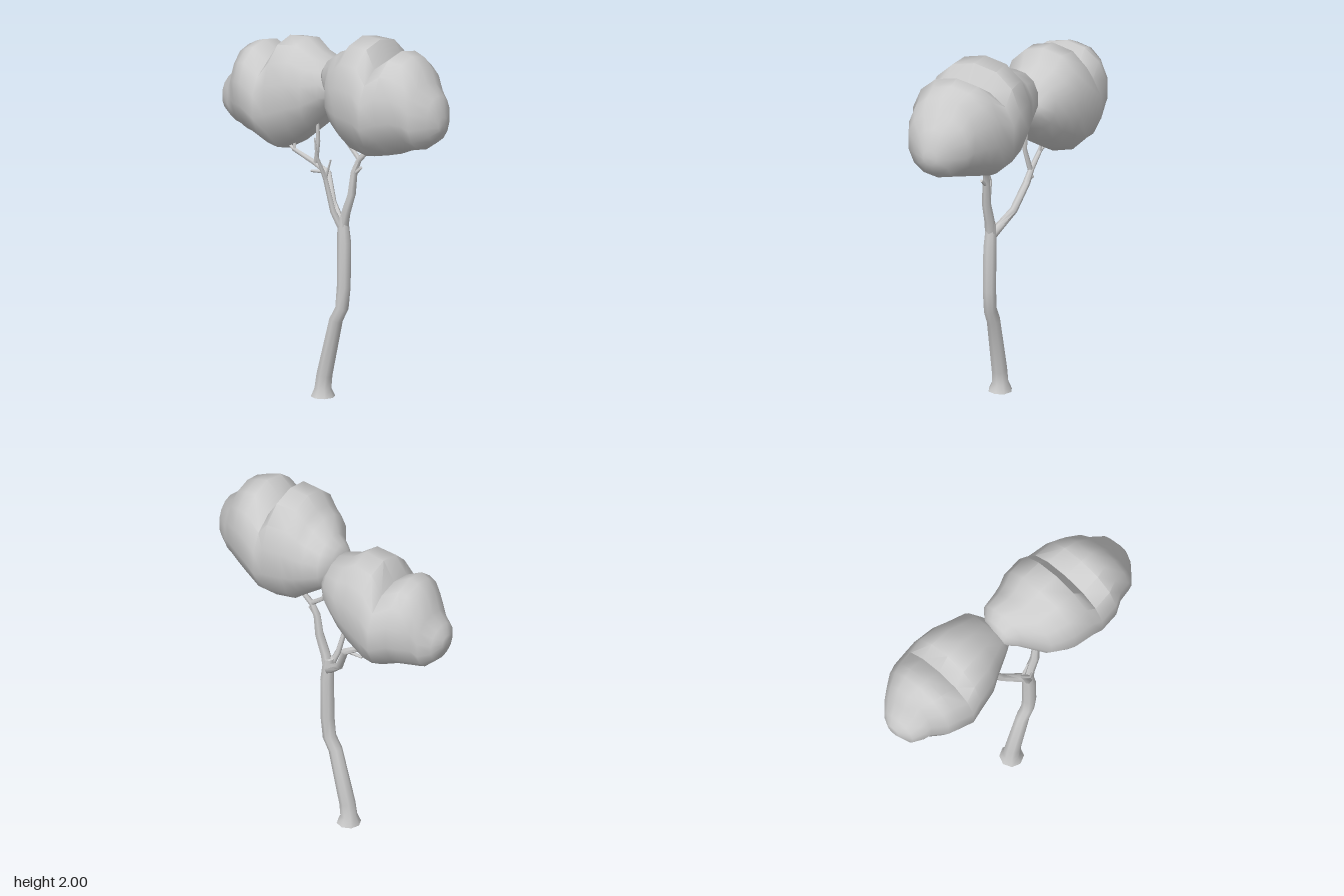
import * as THREE from 'three';
import { toCreasedNormals } from 'three/addons/utils/BufferGeometryUtils.js';

const material = new THREE.MeshStandardMaterial({ color: 0xcccccc });

// Skin a list of equal-sized rings and close both ends with a fan
function loft(rings, crease) {
  const n = rings[0].length, last = rings.length - 1;
  const verts = rings.flat();
  const index = [];
  for (let i = 0; i < last; i++) {
    for (let j = 0; j < n; j++) {
      const k = (j + 1) % n;
      const a = i * n + j, b = i * n + k, c = a + n, d = b + n;
      index.push(a, c, b, b, c, d);
    }
  }
  const middle = (ring) => ring.reduce((s, p) => s.add(p), new THREE.Vector3()).divideScalar(n);
  const start = verts.push(middle(rings[0])) - 1;
  const end = verts.push(middle(rings[last])) - 1;
  for (let j = 0; j < n; j++) {
    const k = (j + 1) % n;
    index.push(start, j, k, end, last * n + k, last * n + j);
  }
  const geo = new THREE.BufferGeometry().setFromPoints(verts);
  geo.setIndex(index);
  return toCreasedNormals(geo, crease);
}

// Tapering limb through points [x, y, z, radius]
function limb(name, path, sides = 6) {
  const pts = path.map(([x, y, z]) => new THREE.Vector3(x, y, z));
  const rings = pts.map((p, i) => {
    const before = pts[Math.max(i - 1, 0)];
    const after = pts[Math.min(i + 1, pts.length - 1)];
    const t = after.clone().sub(before).normalize();
    const u = new THREE.Vector3(t.y, -t.x, 0).normalize();
    const v = u.clone().cross(t);
    return Array.from({ length: sides }, (_, j) => {
      const a = (j / sides) * Math.PI * 2;
      return p.clone()
        .addScaledVector(u, Math.cos(a) * path[i][3])
        .addScaledVector(v, Math.sin(a) * path[i][3]);
    });
  });
  const mesh = new THREE.Mesh(loft(rings, 1.1), material);
  mesh.name = name;
  return mesh;
}

// Lumpy crown from slices [x, bottom, top, back, front]
function crown(name, slices, sides = 14) {
  const soft = (v) => Math.sign(v) * Math.abs(v) ** 0.92;
  const rings = slices.map(([x, bottom, top, back, front]) =>
    Array.from({ length: sides }, (_, j) => {
      const a = (j / sides) * Math.PI * 2;
      return new THREE.Vector3(
        x,
        (top + bottom) / 2 + soft(Math.cos(a)) * (top - bottom) / 2,
        (front + back) / 2 - soft(Math.sin(a)) * (front - back) / 2
      );
    }));
  const mesh = new THREE.Mesh(loft(rings, 0.95), material);
  mesh.name = name;
  return mesh;
}

export function createModel() {
  const tree = new THREE.Group();
  tree.name = 'tree';

  // Bent trunk with a flared foot
  tree.add(limb('trunk', [
    [-0.04, 0, 0.065, 0.065], [-0.04, 0.045, 0.065, 0.045], [-0.03, 0.12, 0.065, 0.043],
    [0.045, 0.43, 0.065, 0.037], [0.083, 0.5, 0.065, 0.036], [0.095, 0.62, 0.065, 0.037],
    [0.095, 0.86, 0.062, 0.037], [0.085, 1.0, 0.06, 0.028],
  ], 8));

  // Branches carrying the crown on the +x side
  tree.add(limb('leftBranch', [
    [0.09, 0.95, 0.06, 0.03], [0.105, 1.02, 0.06, 0.027], [0.143, 1.13, 0.06, 0.024],
    [0.155, 1.25, 0.055, 0.02], [0.18, 1.32, 0.045, 0.016], [0.27, 1.42, 0.03, 0.012],
  ]));
  tree.add(limb('leftInnerTwig', [
    [0.185, 1.32, 0.045, 0.014], [0.1, 1.39, 0.03, 0.012], [0.03, 1.57, 0.01, 0.009],
  ]));
  tree.add(limb('leftStub', [[0.155, 1.24, 0.055, 0.012], [0.205, 1.285, 0.06, 0.008]]));

  // Branches carrying the crown on the -x side
  tree.add(limb('rightBranch', [
    [0.085, 0.93, 0.055, 0.026], [0.04, 0.97, 0.03, 0.024], [-0.035, 1.04, -0.015, 0.021],
    [-0.1, 1.18, -0.06, 0.02], [-0.18, 1.225, -0.05, 0.016], [-0.31, 1.28, -0.04, 0.012],
  ]));
  tree.add(limb('rightInnerTwig', [
    [-0.17, 1.22, -0.05, 0.014], [-0.14, 1.35, -0.03, 0.012], [-0.155, 1.52, -0.04, 0.009],
  ]));
  tree.add(limb('rightStub', [[-0.11, 1.185, -0.055, 0.012], [-0.2, 1.175, -0.05, 0.007]]));
  tree.add(limb('rightForkUpper', [[-0.3, 1.275, -0.04, 0.01], [-0.31, 1.34, -0.05, 0.006]]));
  tree.add(limb('rightForkOuter', [[-0.3, 1.275, -0.04, 0.01], [-0.37, 1.31, -0.06, 0.006]]));

  // Bare branch at the front
  tree.add(limb('frontBranch', [
    [0.08, 0.95, 0.075, 0.02], [0.05, 1.03, 0.1, 0.016], [0.005, 1.2, 0.105, 0.013],
    [-0.005, 1.34, 0.17, 0.008], [-0.008, 1.44, 0.183, 0.004],
  ]));
  tree.add(limb('frontTwig', [[0.005, 1.2, 0.105, 0.01], [0.04, 1.31, 0.105, 0.005]]));

  // Crowns
  tree.add(crown('leftCrown', [
    [-0.07, 1.69, 1.78, -0.05, 0.04], [-0.05, 1.63, 1.82, -0.12, 0.06],
    [0, 1.56, 1.86, -0.175, 0.1], [0.09, 1.48, 1.9, -0.19, 0.235],
    [0.14, 1.44, 1.93, -0.2, 0.265], [0.2, 1.39, 2.0, -0.22, 0.3],
    [0.32, 1.365, 2.0, -0.225, 0.32], [0.38, 1.38, 1.9, -0.215, 0.33],
    [0.48, 1.41, 1.97, -0.18, 0.335], [0.55, 1.44, 1.95, -0.145, 0.3],
    [0.62, 1.46, 1.91, -0.1, 0.29], [0.66, 1.47, 1.83, -0.07, 0.275],
    [0.73, 1.52, 1.77, -0.01, 0.2], [0.765, 1.58, 1.66, 0.06, 0.14],
  ]));
  tree.add(crown('rightCrown', [
    [-0.77, 1.49, 1.56, -0.14, -0.06], [-0.735, 1.41, 1.61, -0.2, 0.01],
    [-0.68, 1.36, 1.67, -0.25, 0.04], [-0.645, 1.35, 1.78, -0.27, 0.06],
    [-0.58, 1.34, 1.815, -0.31, 0.125], [-0.53, 1.33, 1.83, -0.325, 0.145],
    [-0.43, 1.29, 1.77, -0.345, 0.165], [-0.365, 1.265, 1.88, -0.335, 0.155],
    [-0.25, 1.33, 1.89, -0.31, 0.14], [-0.17, 1.4, 1.83, -0.28, 0.1],
    [-0.08, 1.5, 1.8, -0.24, 0.065], [-0.03, 1.57, 1.71, -0.18, 0.04],
    [-0.01, 1.61, 1.67, -0.14, 0],
  ]));

  return tree;
}
